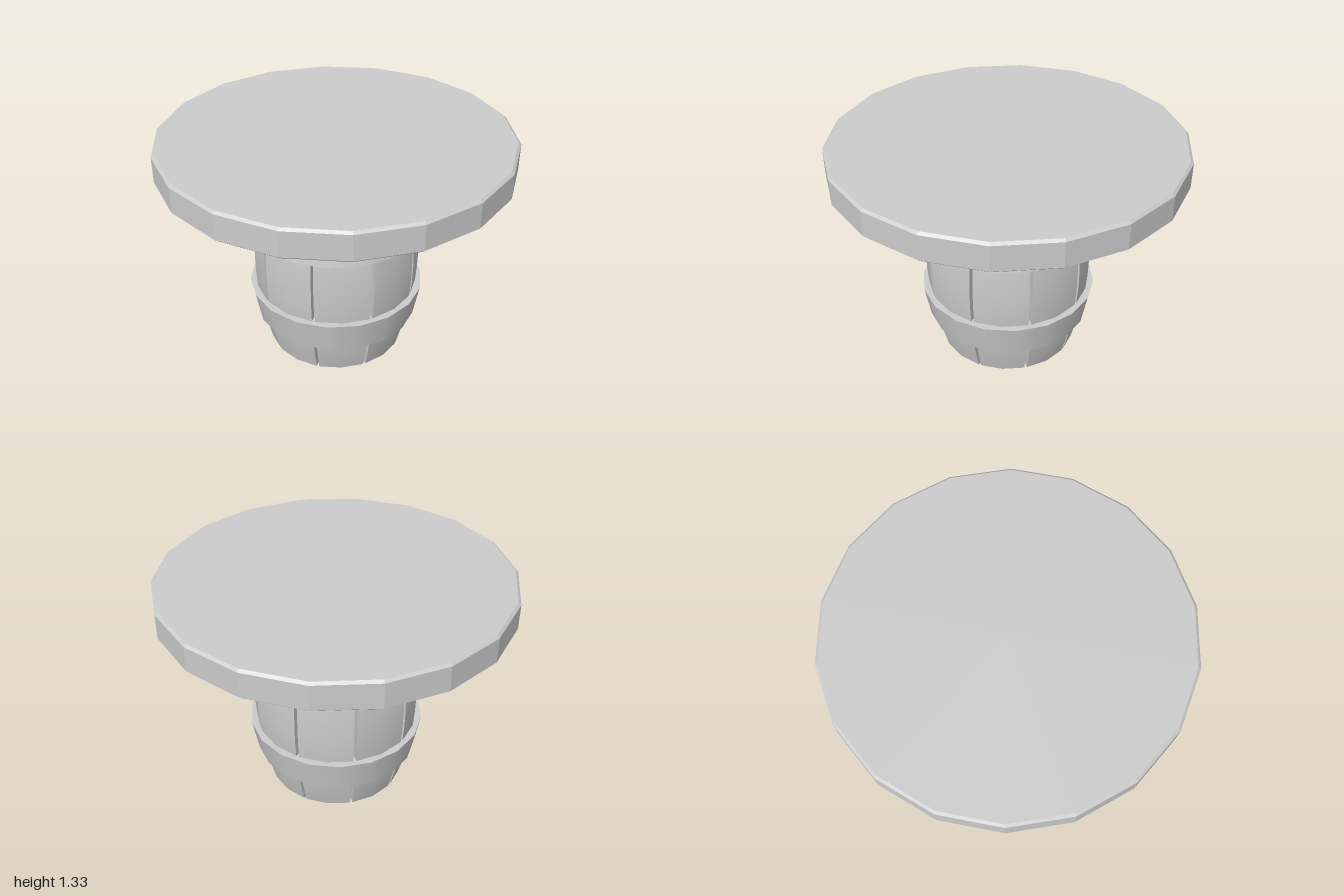
import * as THREE from 'three';

const SIDES = 18, STAVES = 9, HEIGHT = 1.18;
const rad = THREE.MathUtils.degToRad;

// Bulging barrel radius at a given height
const bulge = (y) => 0.485 - 0.085 * ((y - HEIGHT / 2) / (HEIGHT / 2)) ** 2;

export function createModel() {
  const group = new THREE.Group();
  const smooth = new THREE.MeshStandardMaterial({ color: 0xcccccc });
  const flat = new THREE.MeshStandardMaterial({ color: 0xcccccc, flatShading: true });

  const add = (name, geometry, material) => {
    const mesh = new THREE.Mesh(geometry, material);
    mesh.name = name;
    group.add(mesh);
    return mesh;
  };
  const lathe = (pts, start = 0) => new THREE.LatheGeometry(
    pts.map(([r, y]) => new THREE.Vector2(r, y)), SIDES, start);

  // Bevelled round tabletop
  add('tabletop', lathe([
    [0, 1.155], [0.985, 1.155], [1, 1.168], [1, 1.312], [0.985, 1.325], [0, 1.325],
  ], Math.PI / 2), flat);

  // Curved barrel staves: a box bent around the axis and along the bulge
  const thickness = 0.06, halfAngle = rad(18.9);
  for (let i = 0; i < STAVES; i++) {
    const mid = rad(10 + i * 360 / STAVES);
    const geo = new THREE.BoxGeometry(2, HEIGHT, 1, 2, 12, 1);
    const p = geo.attributes.position;
    for (let j = 0; j < p.count; j++) {
      const y = p.getY(j) + HEIGHT / 2;
      const a = mid + p.getX(j) * halfAngle;
      const r = bulge(y) - (0.5 - p.getZ(j)) * thickness;
      p.setXYZ(j, r * Math.sin(a), y, r * Math.cos(a));
    }
    geo.computeVertexNormals();
    add('stave' + (i + 1), geo, smooth);
  }

  // Inner core behind the gaps, with the recessed barrel bottom
  const core = [[0, 0.025]];
  for (let i = 0; i <= 10; i++) {
    const y = 0.025 + i * 0.115;
    core.push([bulge(y) - 0.04, y]);
  }
  add('barrelCore', lathe(core, rad(10)), flat);

  // Two flared hoops, the upper one mirrored
  const hoop = (name, yA, rA, yB, rB) => {
    const ring = [[0.41, yA], [rA, yA], [rB, yB], [0.41, yB], [0.41, yA]];
    // Separate strips keep the rims sharp while the band stays smooth
    const part = new THREE.Group();
    part.name = name;
    for (let i = 0; i < 4; i++) {
      part.add(new THREE.Mesh(lathe([ring[i], ring[i + 1]]), smooth));
    }
    group.add(part);
  };
  hoop('lowerHoop', 0.2, 0.477, 0.39, 0.513);
  hoop('upperHoop', 0.79, 0.513, 0.98, 0.477);

  return group;
}
